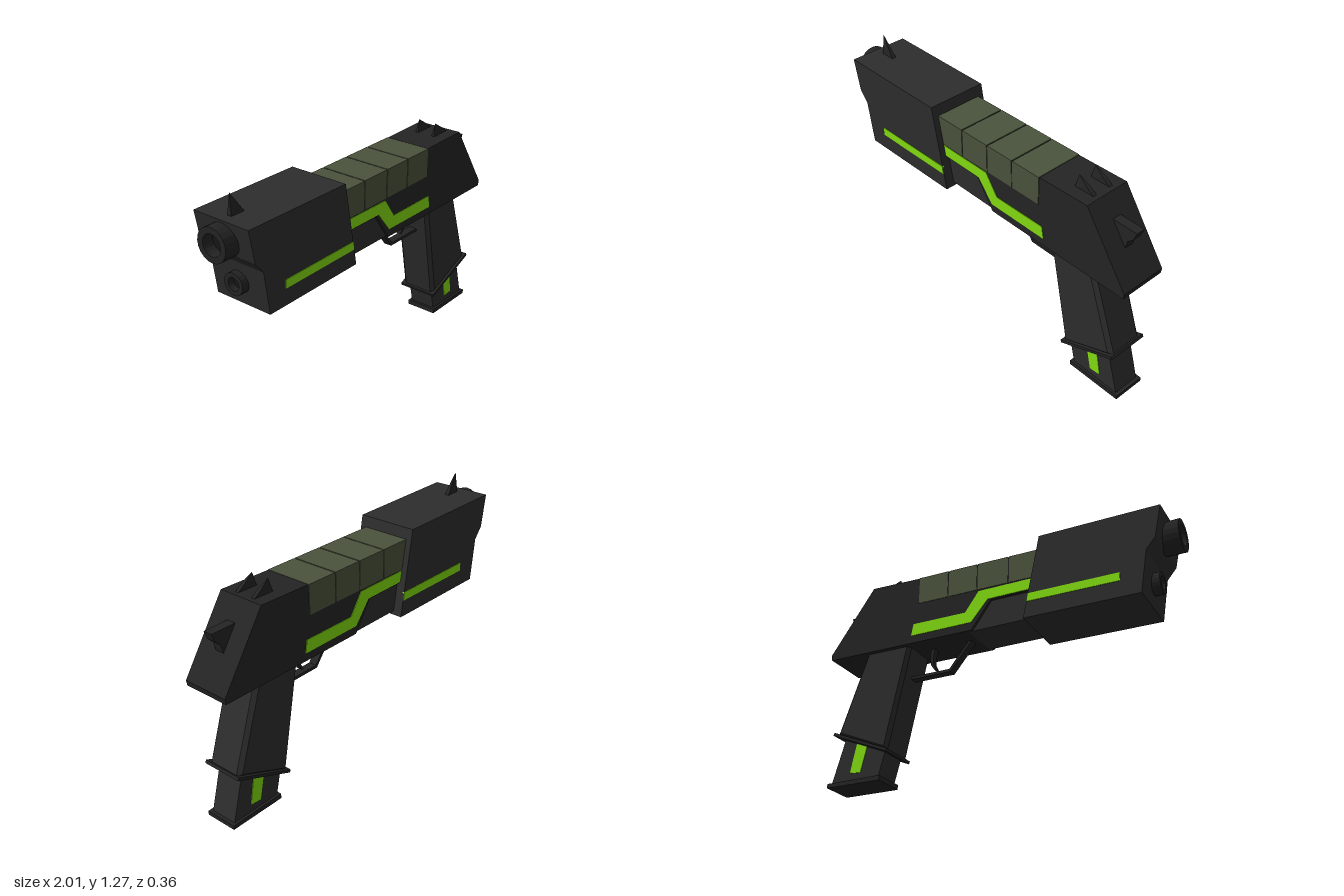
import * as THREE from 'three';

const mat = (color) => new THREE.MeshStandardMaterial({ color, flatShading: true });
const dark = mat(0x242424), grey = mat(0x2d2d2d), black = mat(0x171717);
const lime = mat(0x82dc10), olive = mat(0x4a533c);

const outline = (pts) => new THREE.Shape(pts.map(([x, y]) => new THREE.Vector2(x, y)));

export function createModel() {
  const root = new THREE.Group();
  const gun = new THREE.Group();
  gun.name = 'pistol';
  root.add(gun);

  const add = (name, geo, material) => {
    const mesh = new THREE.Mesh(geo, material);
    mesh.name = name;
    gun.add(mesh);
    return mesh;
  };

  // Side profile extruded to a width centred on z, with an optional chamfer
  const slab = (name, pts, width, material, z = 0, chamfer = 0) => {
    const geo = new THREE.ExtrudeGeometry(outline(pts), {
      depth: width - 2 * chamfer, bevelEnabled: chamfer > 0, bevelSegments: 1,
      bevelThickness: chamfer, bevelSize: chamfer, bevelOffset: -chamfer, curveSegments: 6,
    });
    geo.translate(0, 0, z - width / 2 + chamfer);
    return add(name, geo, material);
  };

  // Thin plate on both flanks, standing slightly proud of a part of the given width
  const flanks = (name, pts, width, material) => {
    for (const side of [1, -1]) slab(name, pts, 0.012, material, side * (width / 2 - 0.003));
  };

  // Sight fin whose top vertices pinch to a point
  const fin = (name, pts, width, z) => {
    const mesh = slab(name, pts, width, dark);
    const top = Math.max(...pts.map((p) => p[1]));
    const pos = mesh.geometry.attributes.position;
    for (let i = 0; i < pos.count; i++) if (pos.getY(i) > top - 1e-4) pos.setZ(i, 0);
    mesh.geometry.translate(0, 0, z);
    mesh.geometry.computeVertexNormals();
  };

  // Hollow tube pointing to -x
  const tube = (name, x0, x1, y, r, hole) => {
    const ring = new THREE.Shape().absarc(0, 0, r, 0, Math.PI * 2);
    ring.holes.push(new THREE.Path().absarc(0, 0, hole, 0, Math.PI * 2, true));
    const geo = new THREE.ExtrudeGeometry(ring, { depth: x0 - x1, bevelEnabled: false, curveSegments: 10 });
    geo.rotateY(-Math.PI / 2).translate(x0, y, 0);
    add(name, geo, dark);
    const plug = new THREE.CylinderGeometry(hole, hole, 0.02, 20);
    plug.rotateZ(Math.PI / 2).translate((x0 + x1) / 2 + 0.015, y, 0);
    add(name + 'Bore', plug, black);
  };

  // Front shroud with its lime stripes
  slab('shroud', [[-0.94, 1.165], [-0.905, 0.99], [-0.855, 0.93], [-0.82, 0.7],
    [-0.195, 0.705], [-0.225, 0.86], [-0.285, 1.165]], 0.332, grey);
  flanks('shroudStripe', [[-0.715, 0.79], [-0.213, 0.795], [-0.221, 0.84], [-0.715, 0.836]], 0.332, lime);

  // Barrels
  tube('barrel', -0.89, -1.0, 1.065, 0.087, 0.055);
  tube('lowerBarrel', -0.82, -0.88, 0.823, 0.058, 0.034);

  // Frame, with a recessed panel low on the front of each side
  slab('frame', [[-0.35, 1.1], [-0.35, 0.88], [0.01, 0.88], [0.12, 0.725], [0.995, 0.73],
    [1.0, 0.76], [0.75, 1.125], [0.45, 1.116], [0.45, 1.105]], 0.26, dark);
  slab('recessedPanel', [[-0.35, 0.9], [-0.35, 0.725], [0.14, 0.725], [0.05, 0.9]], 0.23, grey);

  // Olive slide blocks
  const cuts = [-0.285, -0.094, 0.09, 0.266, 0.45];
  for (let i = 0; i < 4; i++) {
    const a = cuts[i] + 0.003, b = cuts[i + 1] - 0.003;
    slab('slideBlock', [[a, 0.954 + a * 0.012], [b, 0.954 + b * 0.012],
      [b, 1.111 + b * 0.012], [a, 1.111 + a * 0.012]], 0.266, olive);
  }

  // Stepped lime stripe along the frame
  flanks('frameStripe', [[-0.25, 0.945], [-0.25, 0.885], [0.025, 0.885], [0.12, 0.77],
    [0.485, 0.77], [0.473, 0.838], [0.158, 0.835], [0.08, 0.945]], 0.26, lime);

  // Sights and hammer
  fin('frontSight', [[-0.885, 1.16], [-0.8, 1.16], [-0.88, 1.275]], 0.026, 0);
  for (const z of [0.052, -0.052]) {
    fin('rearSight', [[0.605, 1.11], [0.73, 1.12], [0.68, 1.155], [0.625, 1.19]], 0.02, z);
  }
  slab('hammer', [[0.78, 1.03], [0.83, 0.9], [0.893, 0.895], [0.908, 0.955],
    [0.94, 0.985], [0.957, 1.03]], 0.05, dark);

  // Trigger guard and trigger
  slab('triggerGuard', [[0.17, 0.73], [0.298, 0.57], [0.56, 0.57], [0.56, 0.586],
    [0.305, 0.586], [0.192, 0.73]], 0.045, dark);
  slab('trigger', [[0.4, 0.73], [0.41, 0.68], [0.408, 0.64], [0.39, 0.605], [0.4, 0.602],
    [0.423, 0.635], [0.428, 0.68], [0.425, 0.73]], 0.035, dark);

  // Grip with chamfered edges and a slanted collar
  slab('grip', [[0.5, 0.76], [0.62, 0.155], [0.937, 0.285], [0.775, 0.76]], 0.21, grey, 0, 0.02);
  slab('gripCollar', [[0.607, 0.16], [0.612, 0.145], [0.951, 0.284], [0.944, 0.299]], 0.228, dark);

  // Magazine, base plate and lime windows
  slab('magazine', [[0.63, 0.2], [0.675, 0.02], [0.963, 0.02], [0.89, 0.28]], 0.152, grey);
  slab('magazineBase', [[0.658, 0.003], [0.98, 0.003], [0.98, 0.026], [0.658, 0.03]], 0.18, dark);
  flanks('magazineWindow', [[0.753, 0.205], [0.785, 0.065], [0.85, 0.07], [0.818, 0.235]], 0.152, lime);

  // Slight resting yaw and lean
  gun.rotation.set(0.02, 0.027, 0);
  gun.position.z = -0.036;
  return root;
}
